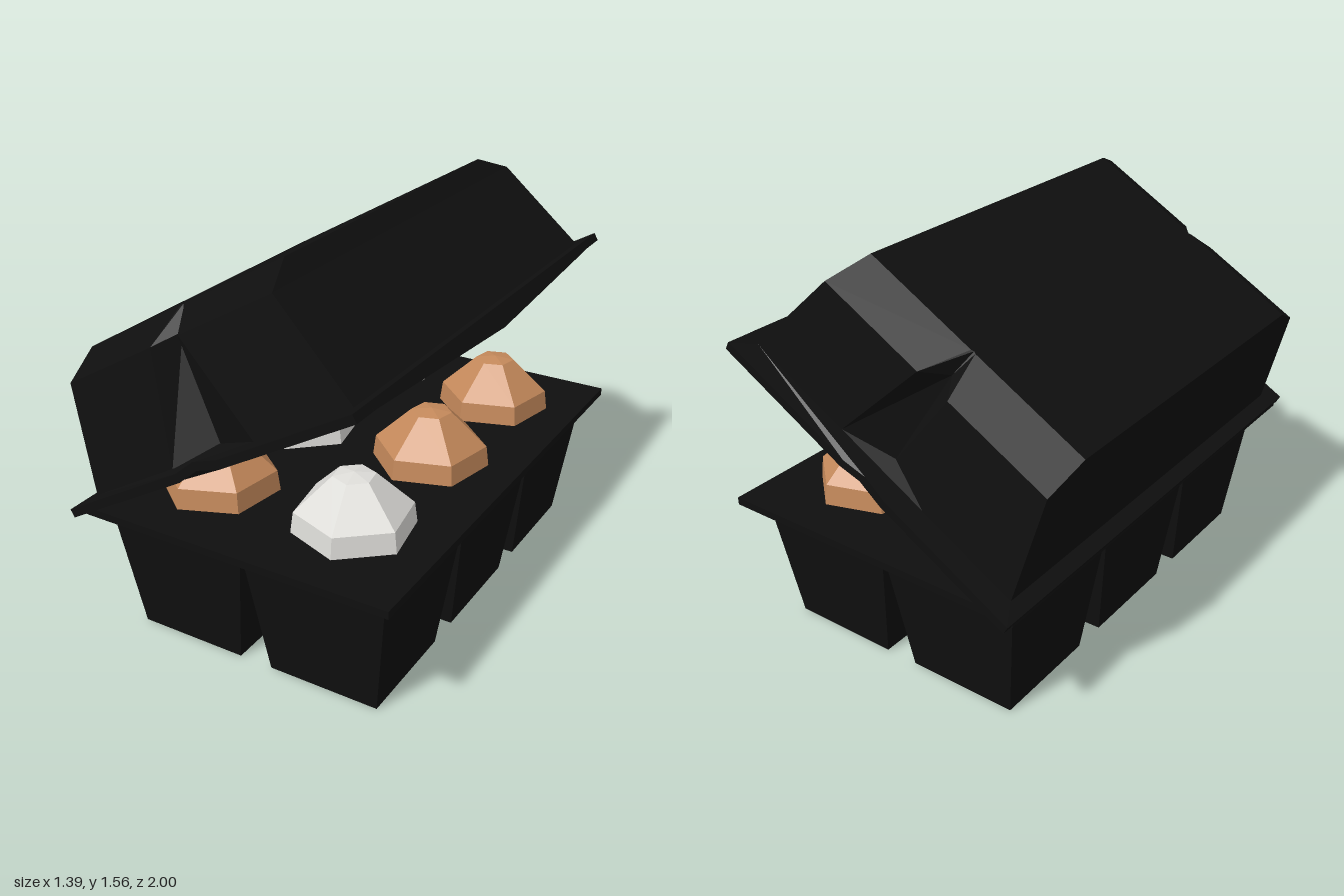
import * as THREE from 'three';

const mat = (name, color, double) => new THREE.MeshStandardMaterial({
  name, color, flatShading: true, side: double ? THREE.DoubleSide : THREE.FrontSide,
});

function add(parent, name, geometry, material, x = 0, y = 0, z = 0) {
  const mesh = new THREE.Mesh(geometry, material);
  mesh.name = name;
  mesh.position.set(x, y, z);
  parent.add(mesh);
  return mesh;
}

const MID = 0.68; // middle of the lid's side, where it is pinched

// Plan outline of the lid at one height, with a V-shaped pinch in both sides
function lidRing(u0, u1, z, pinchWidth, pinchZ) {
  const side = [[u0, z], [MID - pinchWidth, z], [MID, pinchZ], [MID + pinchWidth, z], [u1, z]];
  return [...side, ...side.map(([u, w]) => [u, -w]).reverse()];
}

// Thin lid shell: three rings joined by walls, closed by a flat top
function lidShell() {
  const levels = [
    { v: 0, ring: lidRing(0.06, 1.315, 0.91, 0.2, 0.85) },
    { v: 0.41, ring: lidRing(0.165, 1.19, 0.87, 0.07, 0.77) },
    { v: 0.492, ring: lidRing(0.175, 1.168, 0.71, 0.01, 0.705) },
  ];
  const n = levels[0].ring.length;
  const pos = [], index = [];
  for (const { v, ring } of levels) for (const [u, z] of ring) pos.push(u, v, z);
  pos.push(MID, 0.492, 0);
  for (let i = 0; i < n; i++) {
    const j = (i + 1) % n;
    for (let k = 0; k < 2; k++) {
      const a = k * n + i, b = k * n + j;
      index.push(a, b, b + n, a, b + n, a + n);
    }
    index.push(2 * n + i, 2 * n + j, 3 * n);
  }
  const g = new THREE.BufferGeometry();
  g.setAttribute('position', new THREE.Float32BufferAttribute(pos, 3));
  g.setIndex(index);
  g.computeVertexNormals();
  return g;
}

// Flat frame around the lid opening, arched slightly at the pinch
function lidRim() {
  const toVec = ([u, z]) => new THREE.Vector2(u, z);
  const shape = new THREE.Shape(lidRing(0, 1.37, 1, 0.1, 1).map(toVec));
  shape.holes.push(new THREE.Path(lidRing(0.06, 1.315, 0.91, 0.2, 0.85).map(toVec)));
  const g = new THREE.ExtrudeGeometry(shape, { depth: 0.033, bevelEnabled: false });
  g.rotateX(Math.PI / 2);
  const p = g.attributes.position;
  for (let i = 0; i < p.count; i++) {
    if (Math.abs(p.getX(i) - MID) < 0.01) p.setY(i, p.getY(i) + 0.02);
  }
  g.computeVertexNormals();
  return g;
}

// Closing lip, deepest in the middle
function lidLip() {
  const g = new THREE.BoxGeometry(0.075, 0.08, 1.8, 1, 1, 2);
  const p = g.attributes.position;
  for (let i = 0; i < p.count; i++) {
    if (p.getY(i) < 0 && Math.abs(p.getZ(i)) > 0.1) p.setY(i, 0.008);
  }
  g.computeVertexNormals();
  return g;
}

export function createModel() {
  const model = new THREE.Group();
  model.name = 'eggCarton';
  const black = mat('blackCarton', 0x0f0f0f);
  const blackThin = mat('blackLid', 0x0f0f0f, true);
  blackThin.name = 'blackCartonThin';
  const white = mat('whiteShell', 0xdddcd8);
  const brown = mat('brownShell', 0xc4895b);

  // Tray with six tapered cups
  const tray = new THREE.Group();
  tray.name = 'tray';
  model.add(tray);
  add(tray, 'trayRim', new THREE.BoxGeometry(1.285, 0.03, 1.92), black, 0.0525, 0.54, 0);
  const cup = new THREE.CylinderGeometry(0.29 * Math.SQRT2, 0.222 * Math.SQRT2, 0.525, 4);
  cup.rotateY(Math.PI / 4);

  // Faceted eggs, one in each cup
  const profile = [[0, 0.12], [0.13, 0.18], [0.2, 0.36], [0.228, 0.55], [0.217, 0.635], [0.078, 0.766], [0, 0.778]];
  const egg = new THREE.LatheGeometry(profile.map(([r, y]) => new THREE.Vector2(r, y)), 6);
  const eggs = new THREE.Group();
  eggs.name = 'eggs';
  model.add(eggs);
  const rows = [
    { x: -0.235, shells: [brown, white, white], turns: [-22, 18, -18] },
    { x: 0.345, shells: [white, brown, brown], turns: [20, -18, -18] },
  ];
  for (const { x, shells, turns } of rows) {
    [0.58, 0, -0.58].forEach((z, i) => {
      add(tray, 'cup', cup, black, x, 0.2625, z);
      // lathe corners start on +z; turn them to the wanted angle from +x
      add(eggs, 'egg', egg, shells[i], x, 0, z).rotation.y = THREE.MathUtils.degToRad(90 - turns[i]);
    });
  }

  // Lid, hinged open by thirty degrees
  const lid = new THREE.Group();
  lid.name = 'lid';
  lid.position.set(-0.6, 0.553, 0);
  lid.rotation.z = Math.PI / 6;
  model.add(lid);
  add(lid, 'lidShell', lidShell(), blackThin);
  add(lid, 'lidRim', lidRim(), blackThin);
  add(lid, 'lidLip', lidLip(), black, 1.333, -0.04, 0);

  return model;
}
